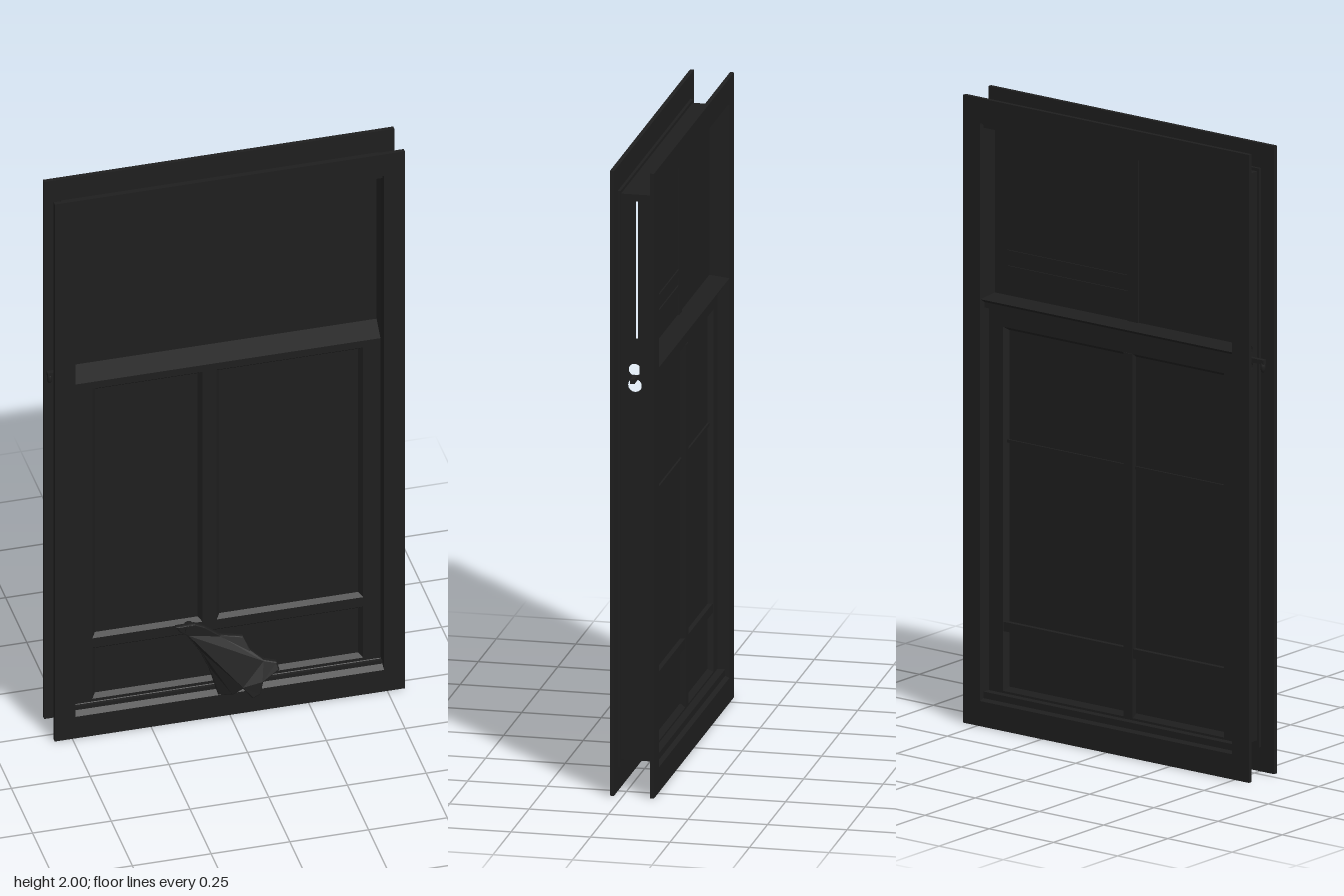
import * as THREE from 'three';

export function createModel() {
  const model = new THREE.Group();
  const dark = new THREE.MeshStandardMaterial({ color: 0x1e1e1e });
  dark.name = 'dark paint';

  const add = (name, geometry) => {
    const mesh = new THREE.Mesh(geometry, dark);
    mesh.name = name;
    model.add(mesh);
    return mesh;
  };
  // box given by its limits on each axis
  const box = (name, x0, x1, y0, y1, z0, z1) =>
    add(name, new THREE.BoxGeometry(x1 - x0, y1 - y0, z1 - z0))
      .position.set((x0 + x1) / 2, (y0 + y1) / 2, (z0 + z1) / 2);
  const rect = (type, [x0, x1, y0, y1]) => {
    const s = new type();
    s.moveTo(x0, y0).lineTo(x1, y0).lineTo(x1, y1).lineTo(x0, y1).closePath();
    return s;
  };
  const pierced = (outer, holes) => {
    const s = rect(THREE.Shape, outer);
    s.holes = holes.map(h => rect(THREE.Path, h));
    return s;
  };
  // solid flat plate with rectangular openings
  const plate = (name, outer, holes, z0, z1) =>
    add(name, new THREE.ExtrudeGeometry(pierced(outer, holes), { depth: z1 - z0, bevelEnabled: false }))
      .position.z = z0;
  // single flat skin facing the front (dir 1) or the back (dir -1)
  const skin = (name, outer, holes, z, dir) => {
    const g = new THREE.ShapeGeometry(pierced(outer, holes));
    if (dir < 0) {
      g.index.array.reverse();
      g.computeVertexNormals();
    }
    add(name, g).position.z = z;
  };
  // sloped moulding from an outer rectangle down to an inner one
  const moulding = (name, outer, inner, zOuter, zInner) => {
    const ring = ([x0, x1, y0, y1], z) => [[x0, y0, z], [x1, y0, z], [x1, y1, z], [x0, y1, z]];
    const o = ring(outer, zOuter), i = ring(inner, zInner);
    const p = [];
    for (let k = 0; k < 4; k++) {
      const n = (k + 1) % 4;
      const quad = [o[k], o[n], i[n], i[k]];
      if (zOuter < zInner) quad.reverse();
      const [a, b, c, d] = quad;
      p.push(...a, ...b, ...c, ...a, ...c, ...d);
    }
    const g = new THREE.BufferGeometry();
    g.setAttribute('position', new THREE.Float32BufferAttribute(p, 3));
    g.computeVertexNormals();
    add(name, g);
  };
  const inset = ([x0, x1, y0, y1], w) => [x0 + w, x1 - w, y0 + w, y1 - w];

  // front and back casings with the channel between them
  const outer = [-0.556, 0.556, 0, 2];
  const opening = [-0.49, 0.49, 0.08, 1.92];
  plate('frontCasing', outer, [opening], 0.027, 0.04);
  plate('backCasing', outer, [opening], -0.099, -0.086);
  const lip = [-0.505, 0.505, 0.078, 1.922];
  const channel = [-0.49, 0.49, 0.1, 1.91];
  plate('frontLip', lip, [channel], 0.018, 0.027);
  plate('backLip', lip, [channel], -0.086, -0.077);

  // side jambs, pierced for the latch and slotted between the upper panes
  for (const side of [-1, 1]) {
    const s = rect(THREE.Shape, [-0.027, 0.086, 0.1, 1.91]);
    for (const [y, r] of [[1.35, 0.02], [1.3, 0.022]]) {
      const hole = new THREE.Path();
      hole.absellipse(0.025, y, r, r, 0, Math.PI * 2, true);
      s.holes.push(hole);
    }
    s.holes.push(rect(THREE.Path, [0.028, 0.036, 1.45, 1.89]));
    const g = new THREE.ExtrudeGeometry(s, { depth: 0.006, bevelEnabled: false, curveSegments: 8 });
    const jamb = add(side < 0 ? 'rightJamb' : 'leftJamb', g);
    jamb.rotation.y = Math.PI / 2;
    jamb.position.x = side < 0 ? -0.497 : 0.491;
    box('latch', side < 0 ? -0.562 : 0.488, side < 0 ? -0.488 : 0.54, 1.318, 1.332, -0.034, -0.02);
  }
  const knob = add('latchKnob', new THREE.SphereGeometry(0.016, 12, 8));
  knob.scale.set(0.5, 1.2, 0.6);
  knob.position.set(-0.555, 1.31, -0.027);
  box('head', -0.497, 0.497, 1.904, 1.912, -0.086, 0.027);
  box('sill', -0.497, 0.497, 0.1, 0.108, -0.086, 0.027);

  // front reveal, sloping wider along the bottom
  moulding('frontReveal', opening, [-0.485, 0.485, 0.11, 1.912], 0.04, 0.015);

  // upper sash: a thin pane between recesses, with a faint bar behind
  const upperFront = [-0.485, 0.485, 1.3, 1.912];
  const upperFrontPane = [-0.478, 0.478, 1.36, 1.903];
  const upperBack = [-0.49, 0.49, 1.36, 1.915];
  moulding('upperFrontMoulding', upperFront, upperFrontPane, 0.015, -0.006);
  skin('upperFrontPane', upperFrontPane, [], -0.006, 1);
  moulding('upperBackMoulding', upperBack, inset(upperBack, 0.01), -0.099, -0.038);
  skin('upperBackPane', inset(upperBack, 0.01), [], -0.038, -1);
  box('upperBar', -0.08, -0.04, 1.37, 1.905, -0.043, -0.037);
  for (const y of [1.44, 1.49]) box('upperSlat', -0.045, 0.43, y, y + 0.025, -0.042, -0.037);

  // lower sash front: two tall panels over one low panel
  const frontPanels = [[-0.43, -0.08, 0.345, 1.275], [-0.035, 0.43, 0.345, 1.275], [-0.43, 0.43, 0.12, 0.31]];
  skin('lowerFrontSash', [-0.485, 0.485, 0.11, 1.3], frontPanels, 0.015, 1);
  for (const p of frontPanels) {
    moulding('frontPanelMoulding', p, inset(p, 0.012), 0.015, 0);
    skin('frontPanel', inset(p, 0.012), [], 0, 1);
  }

  // lower sash back: panes divided by a muntin and rails
  const backPanel = [-0.43, 0.43, 0.115, 1.275];
  moulding('backReveal', [-0.49, 0.49, 0.08, 1.36], [-0.485, 0.485, 0.1, 1.335], -0.099, -0.062);
  skin('lowerBackSash', [-0.485, 0.485, 0.1, 1.335], [backPanel], -0.062, -1);
  moulding('backPanelMoulding', backPanel, inset(backPanel, 0.012), -0.062, -0.046);
  skin('lowerBackPane', inset(backPanel, 0.012), [], -0.046, -1);
  box('meetingRail', -0.488, 0.488, 1.33, 1.362, -0.08, -0.038);
  box('backMuntin', -0.076, -0.04, 0.115, 1.275, -0.064, -0.045);
  box('backRail', -0.43, 0.43, 0.305, 0.335, -0.061, -0.045);
  box('thinBackRail', -0.43, 0.43, 0.905, 0.915, -0.052, -0.045);

  // flared strap hanging from the low rail, curling outward at its foot
  const strap = new THREE.Shape([
    [-0.165, 0.35], [-0.155, 0.335], [-0.13, 0.315], [-0.09, 0.25], [-0.06, 0.18], [-0.035, 0.09], [0.0, 0.095],
    [0.03, 0.125], [0.06, 0.09], [0.08, 0.1], [0.09, 0.14], [0.145, 0.165], [0.14, 0.185], [0.1, 0.2],
    [0.06, 0.235], [0.04, 0.28], [-0.03, 0.295], [-0.08, 0.335], [-0.11, 0.35],
  ].map(p => new THREE.Vector2(...p)));
  const g = new THREE.ExtrudeGeometry(strap, {
    depth: 0.008, bevelThickness: 0.004, bevelSize: 0.004, bevelSegments: 2,
  });
  const pos = g.attributes.position;
  for (let i = 0; i < pos.count; i++) {
    const x = pos.getX(i), y = pos.getY(i);
    const curl = THREE.MathUtils.smoothstep(x, -0.08, 0.07) * THREE.MathUtils.smoothstep(-y, -0.3, -0.12);
    pos.setZ(i, pos.getZ(i) + 0.024 + 0.059 * curl - 0.2 * Math.max(0, x - 0.08));
  }
  g.computeVertexNormals();
  add('strap', g);
  const pin = add('strapPin', new THREE.CylinderGeometry(0.016, 0.018, 0.03, 12));
  pin.rotation.x = Math.PI / 2;
  pin.position.set(-0.125, 0.335, 0.026);

  return model;
}
